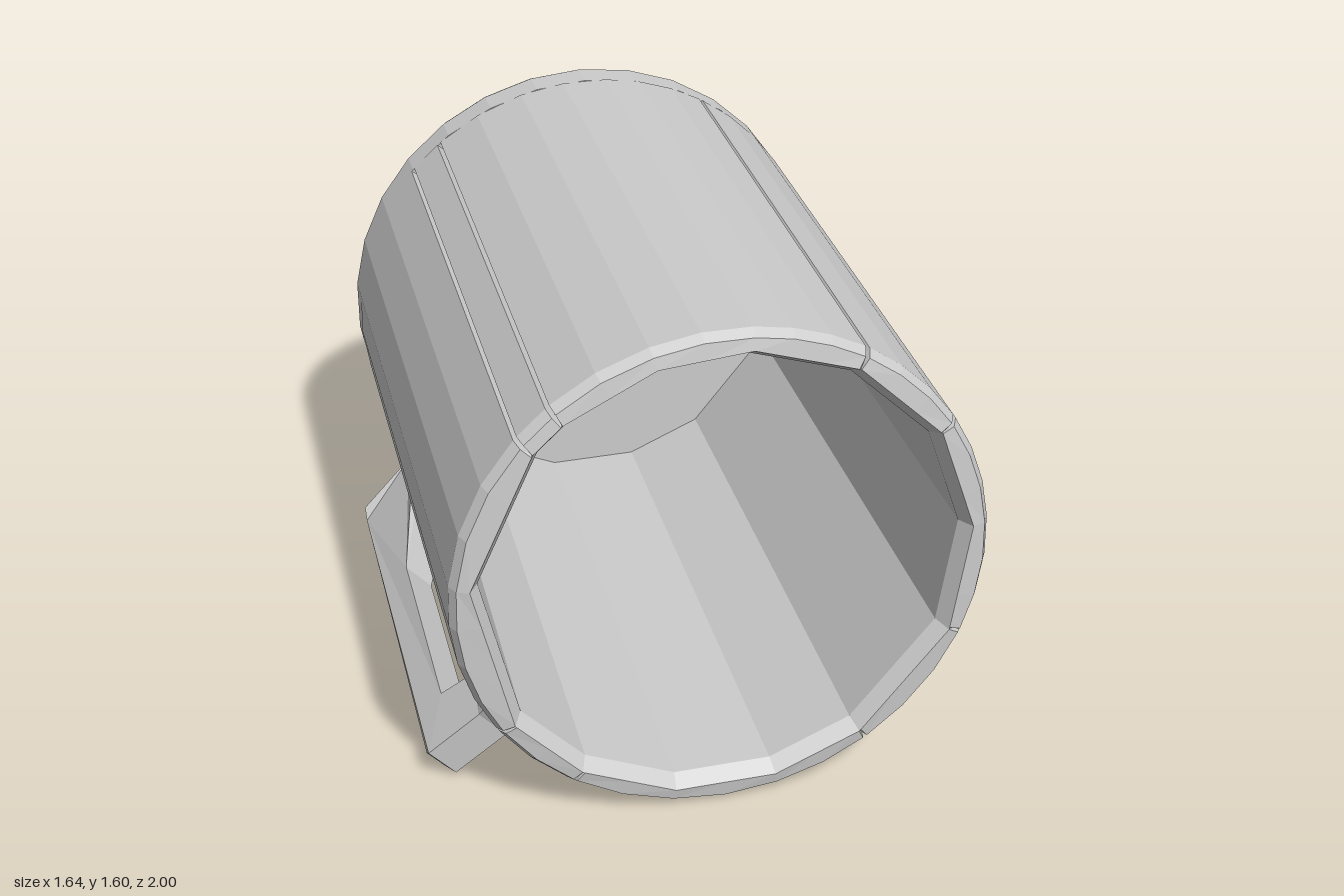
import * as THREE from 'three';

const CX = 0.03, CY = 0.8; // axis of the barrel
const rad = THREE.MathUtils.degToRad;
const material = new THREE.MeshStandardMaterial({ color: 0xcccccc, flatShading: true });

// Corners of the faceted interior, in degrees; some also carry a groove outside
const corners = [-125, -101, -77, -55, -22, 6, 33, 60, 85, 106, 129, 138, 174, 213, 235];
const seams = [-125, -55, -22, 33, 60, 129, 138, 213, 235];

// Wall profile: [radius, z, isInner]
const profile = [
  [0.8, -0.85, false], [0.8, 0.96, false], [0.782, 0.992, false],
  [0.745, 1, true], [0.715, 0.95, true], [0.69, -0.85, true],
];

// Wall of staves: round outside with fine grooves, coarse facets inside
function staveWall() {
  const columns = [];
  for (let k = 0; k < corners.length - 1; k++) {
    const a = corners[k], b = corners[k + 1], half = (b - a) / 2;
    const n = Math.max(1, Math.ceil((b - a) / 12));
    const add = (angle, groove) => columns.push({
      angle: rad(angle), groove,
      chord: Math.cos(rad(half)) / Math.cos(rad(angle - a - half)),
    });
    const grooveA = seams.includes(a), grooveB = seams.includes(b);
    add(a, grooveA ? 0.035 : 0);
    if (grooveA) add(a + 0.5, 0);
    for (let i = 1; i < n; i++) add(a + ((b - a) * i) / n, 0);
    if (grooveB) add(b - 0.5, 0);
    if (k === corners.length - 2) add(b, 0.035);
  }
  const positions = [], index = [], rows = profile.length;
  columns.forEach(({ angle, groove, chord }, i) => {
    profile.forEach(([r, z, inner], j) => {
      const radius = inner ? r * chord : r - groove;
      positions.push(CX + radius * Math.cos(angle), CY + radius * Math.sin(angle), z);
      if (i < columns.length - 1 && j < rows - 1) {
        const p = i * rows + j, q = p + rows;
        index.push(p, q, q + 1, p, q + 1, p + 1);
      }
    });
  });
  const geometry = new THREE.BufferGeometry();
  geometry.setAttribute('position', new THREE.Float32BufferAttribute(positions, 3));
  geometry.setIndex(index);
  geometry.computeVertexNormals();
  return geometry;
}

// Closed end: solid disc with a chamfered back edge
function baseDisc() {
  const points = [[0, -1], [0.765, -1], [0.785, -0.985], [0.8, -0.95], [0.8, -0.85], [0, -0.85]]
    .map(([r, z]) => new THREE.Vector2(r, z));
  const geometry = new THREE.LatheGeometry(points, 30);
  geometry.rotateX(Math.PI / 2);
  geometry.translate(CX, CY, 0);
  return geometry;
}

// Handle: U-shaped outline (distance from axis, z), flared at the feet
function handleShape() {
  const outline = [
    [0.75, -0.86], [0.86, -0.77], [1.09, -0.73], [1.11, -0.69], [1.11, 0.66], [1.09, 0.7],
    [0.88, 0.73], [0.75, 0.8], [0.75, 0.46], [0.86, 0.54], [0.99, 0.5],
    [0.99, -0.22], [0.86, -0.55], [0.75, -0.48],
  ].map(([r, z]) => new THREE.Vector2(r, z));
  const geometry = new THREE.ExtrudeGeometry(new THREE.Shape(outline), { depth: 0.12, bevelEnabled: false });
  geometry.translate(0, 0, -0.06);
  const pos = geometry.attributes.position;
  for (let i = 0; i < pos.count; i++) {
    const r = pos.getX(i);
    const scale = r > 1.1 ? 0.65 : r < 0.8 ? 1.9 : 1;
    pos.setZ(i, pos.getZ(i) * scale);
  }
  const out = new THREE.Vector3(-0.74, -0.68, 0).normalize();
  const along = new THREE.Vector3(0, 0, 1);
  const across = out.clone().cross(along);
  geometry.applyMatrix4(new THREE.Matrix4().makeBasis(out, along, across).setPosition(CX, CY, 0));
  geometry.computeVertexNormals();
  return geometry;
}

export function createModel() {
  const group = new THREE.Group();
  group.name = 'mug';
  const parts = { staveWall: staveWall(), baseDisc: baseDisc(), handle: handleShape() };
  for (const [name, geometry] of Object.entries(parts)) {
    const mesh = new THREE.Mesh(geometry, material);
    mesh.name = name;
    group.add(mesh);
  }
  return group;
}
